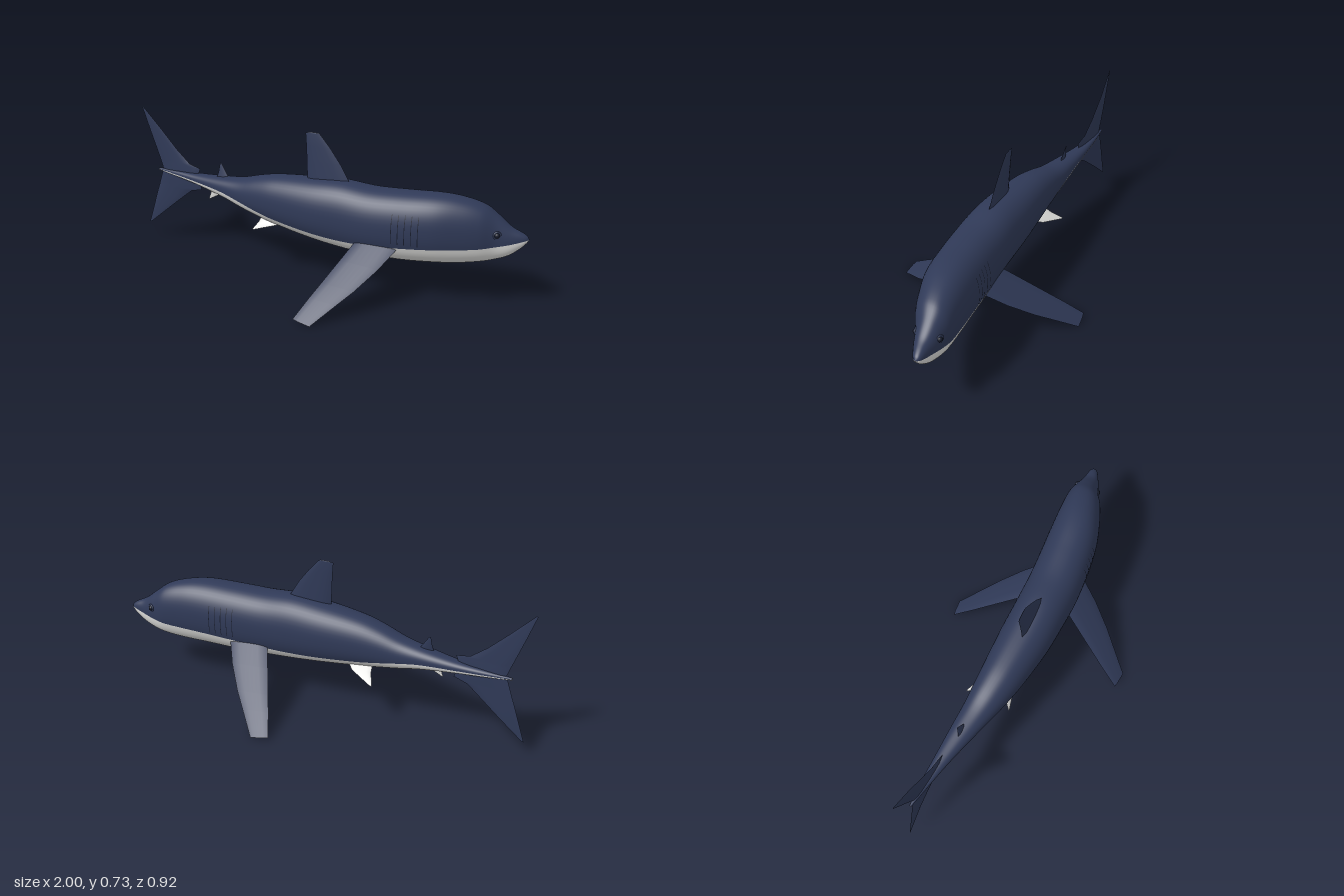
import * as THREE from 'three';

// body stations: x, top, bottom, colour seam height, z of right flank, z of left flank
const ROWS = [
  [-0.92, 0.393, 0.383, 0.388, -0.13, -0.12],
  [-0.8, 0.4, 0.367, 0.382, -0.134, -0.092],
  [-0.67, 0.406, 0.35, 0.374, -0.132, -0.06],
  [-0.5, 0.424, 0.32, 0.362, -0.128, -0.01],
  [-0.4, 0.44, 0.293, 0.343, -0.125, 0.02],
  [-0.3, 0.47, 0.27, 0.32, -0.125, 0.05],
  [-0.2, 0.493, 0.25, 0.3, -0.126, 0.075],
  [0, 0.515, 0.22, 0.277, -0.129, 0.11],
  [0.15, 0.525, 0.203, 0.268, -0.126, 0.122],
  [0.3, 0.516, 0.194, 0.272, -0.126, 0.128],
  [0.45, 0.52, 0.192, 0.283, -0.132, 0.12],
  [0.6, 0.525, 0.2, 0.294, -0.14, 0.1],
  [0.7, 0.516, 0.207, 0.3, -0.144, 0.07],
  [0.8, 0.487, 0.221, 0.306, -0.144, 0.03],
  [0.86, 0.444, 0.236, 0.313, -0.132, -0.006],
  [0.92, 0.396, 0.262, 0.325, -0.118, -0.03],
  [0.97, 0.371, 0.303, 0.337, -0.108, -0.056],
  [0.99, 0.358, 0.326, 0.342, -0.1, -0.07],
  [1.0, 0.345, 0.341, 0.343, -0.088, -0.084],
];

// smooth interpolation of one column of the stations
function column(x, c) {
  const last = ROWS.length - 1;
  x = THREE.MathUtils.clamp(x, ROWS[0][0], ROWS[last][0]);
  let i = 0;
  while (i < last - 1 && x > ROWS[i + 1][0]) i++;
  const slope = (k) => {
    const a = ROWS[Math.max(k - 1, 0)], b = ROWS[Math.min(k + 1, last)];
    return (b[c] - a[c]) / (b[0] - a[0]);
  };
  const p = ROWS[i], q = ROWS[i + 1], w = q[0] - p[0], t = (x - p[0]) / w, u = 1 - t;
  return p[c] * (1 + 2 * t) * u * u + q[c] * t * t * (3 - 2 * t)
    + slope(i) * w * t * u * u - slope(i + 1) * w * t * t * u;
}

const POWER = 2.25;
const bend = (v) => Math.sign(v) * Math.abs(v) ** (2 / POWER);
const midZ = (x) => (column(x, 4) + column(x, 5)) / 2;

// point on the skin: angle 0 is the left flank, PI/2 the back
function skin(x, a, out = 0) {
  const top = column(x, 1), low = column(x, 2);
  const h = (top - low) / 2 + out, w = (column(x, 5) - column(x, 4)) / 2 + out;
  return new THREE.Vector3(x, (top + low) / 2 + h * bend(Math.sin(a)), midZ(x) + w * bend(Math.cos(a)));
}

// angle on the left flank that lies at height y
function angleAt(x, y) {
  const top = column(x, 1), low = column(x, 2);
  const v = THREE.MathUtils.clamp((2 * y - top - low) / (top - low), -0.97, 0.97);
  return Math.asin(Math.sign(v) * Math.abs(v) ** (POWER / 2));
}

// surface through a grid of points; pick(column) gives the material index
function gridGeometry(rows, pick) {
  const n = rows[0].length, pos = [], geo = new THREE.BufferGeometry(), faces = [[], []];
  rows.forEach((r) => r.forEach((p) => pos.push(p.x, p.y, p.z)));
  for (let i = 0; i < rows.length - 1; i++) {
    for (let j = 0; j < n - 1; j++) {
      const a = i * n + j, b = a + n;
      faces[pick ? pick(j) : 0].push(a, b, b + 1, a, b + 1, a + 1);
    }
  }
  geo.setAttribute('position', new THREE.Float32BufferAttribute(pos, 3));
  geo.setIndex([...faces[0], ...faces[1]]);
  geo.addGroup(0, faces[0].length, 0);
  geo.addGroup(faces[0].length, faces[1].length, 1);
  geo.computeVertexNormals();
  return geo;
}

// one face of a fin; sections are [trailing point, leading point, half thickness]
function finSide(sections, normal, sign, material) {
  const rows = sections.map(([trail, lead, thick]) => {
    const row = [];
    for (let k = 0; k <= 8; k++) {
      const u = k / 8, bulge = thick * Math.sqrt(u) ** 0.9 * Math.sqrt(1 - u) * 2;
      row.push(trail.clone().lerp(lead, u).addScaledVector(normal, sign * bulge));
    }
    return sign > 0 ? row : row.reverse();
  });
  return new THREE.Mesh(gridGeometry(rows), material);
}

function fin(name, sections, normal, upper, lower = upper, tip = lower, split = sections.length - 1) {
  const group = new THREE.Group();
  group.name = name;
  group.add(finSide(sections, normal, 1, upper));
  group.add(finSide(sections.slice(0, split + 1), normal, -1, lower));
  if (split < sections.length - 1) group.add(finSide(sections.slice(split), normal, -1, tip));
  group.children.forEach((m, i) => { m.name = name + ['Upper', 'Lower', 'Tip'][i]; });
  return group;
}

export function createModel() {
  const model = new THREE.Group();
  model.name = 'shark';
  const paint = (name, color) => {
    const m = new THREE.MeshStandardMaterial({ color, side: THREE.DoubleSide });
    m.name = name;
    return m;
  };
  const navy = paint('navy', 0x303a58), white = paint('white', 0xe0e0de), dark = paint('dark', 0x171c2c);
  const V = (x, y, z) => new THREE.Vector3(x, y, z);
  const sideways = V(0, 0, 1);

  // body: dark back and pale belly share one smooth skin
  const rings = [], BACK = 32, BELLY = 20;
  for (let i = 0; i <= 110; i++) {
    const x = -0.92 + 1.92 * Math.sin((i / 110) * Math.PI / 2);
    const s = angleAt(x, column(x, 3)), ring = [];
    for (let j = 0; j <= BACK; j++) ring.push(skin(x, s + (Math.PI - 2 * s) * j / BACK));
    for (let j = 1; j <= BELLY; j++) ring.push(skin(x, Math.PI - s + (Math.PI + 2 * s) * j / BELLY));
    rings.push(ring);
  }
  const body = new THREE.Mesh(gridGeometry(rings, (j) => (j < BACK ? 0 : 1)), [navy, white]);
  body.name = 'body';
  model.add(body);

  // upright fins on the back: [y, trailing x, leading x, z, half thickness]
  const upright = (rows) => rows.map(([y, t, l, z, h]) => [V(t, y, z), V(l, y, z), h]);
  model.add(fin('dorsalFin', upright([
    [0.48, -0.03, 0.2, 0, 0.013], [0.53, -0.033, 0.172, -0.002, 0.011], [0.6, -0.036, 0.13, -0.005, 0.008],
    [0.67, -0.04, 0.078, -0.008, 0.005], [0.728, -0.045, 0.027, -0.011, 0.003], [0.733, -0.02, 0.02, -0.011, 0],
  ]), sideways, navy));
  model.add(fin('secondDorsalFin', upright([
    [0.41, -0.555, -0.48, -0.07, 0.006], [0.44, -0.545, -0.5, -0.075, 0.005], [0.488, -0.537, -0.53, -0.08, 0],
  ]), sideways, navy));

  // tail fin follows the curve of the body: [y, trailing x, leading x, half thickness]
  model.add(fin('tailFin', [
    [0.08, -0.998, -0.99, 0], [0.18, -0.965, -0.872, 0.002], [0.255, -0.941, -0.782, 0.004],
    [0.303, -0.924, -0.722, 0.005], [0.322, -0.918, -0.655, 0.006], [0.37, -0.902, -0.67, 0.008],
    [0.395, -0.893, -0.675, 0.008], [0.433, -0.905, -0.66, 0.006], [0.447, -0.91, -0.725, 0.005],
    [0.51, -0.932, -0.8, 0.004], [0.6, -0.963, -0.888, 0.002], [0.707, -0.998, -0.99, 0],
  ].map(([y, t, l, h]) => [V(t, y, midZ(t)), V(l, y, midZ(l)), h]), sideways, navy));

  // anal fin
  model.add(fin('analFin', upright([
    [0.34, -0.59, -0.51, -0.07, 0.005], [0.325, -0.59, -0.535, -0.07, 0.004], [0.293, -0.602, -0.595, -0.07, 0],
  ]), sideways, white));

  for (const s of [1, -1]) {
    const side = s > 0 ? 'left' : 'right';

    // pectoral fins, pale below with dark tips: [trailing x, leading x, z, half thickness]
    const up = V(0, 1, 0.763 * s).normalize();
    const drop = (z) => 0.272 - 0.763 * (z - 0.11);
    model.add(fin(side + 'PectoralFin', [
      [0.275, 0.475, 0.06, 0.011], [0.25, 0.445, 0.115, 0.01], [0.21, 0.395, 0.2, 0.008],
      [0.163, 0.32, 0.3, 0.006], [0.132, 0.262, 0.365, 0.005], [0.093, 0.183, 0.455, 0.002],
      [0.12, 0.18, 0.461, 0],
    ].map(([t, l, z, h]) => [V(t, drop(z) + 0.01, s * (z - 0.005)), V(l, drop(z), s * z), h]), up, navy, white, navy, 4));

    // pelvic fins
    const pz = s > 0 ? [0.0, 0.03, 0.055] : [-0.08, -0.115, -0.17];
    model.add(fin(side + 'PelvicFin', [
      [V(-0.27, 0.285, pz[0]), V(-0.15, 0.275, pz[0]), 0.005],
      [V(-0.275, 0.262, pz[1]), V(-0.18, 0.257, pz[1]), 0.004],
      [V(-0.3, 0.226, pz[2]), V(-0.29, 0.226, pz[2]), 0],
    ], V(0, 0.8, 0.6 * s), white));

    // eyes with raised lids
    const a = angleAt(0.87, 0.37), spot = skin(0.87, s > 0 ? a : Math.PI - a, -0.003);
    const eye = new THREE.Group();
    eye.name = side + 'Eye';
    const ball = new THREE.Mesh(new THREE.SphereGeometry(0.013, 16, 12), dark);
    ball.name = side + 'Eyeball';
    const lid = new THREE.Mesh(new THREE.TorusGeometry(0.015, 0.005, 8, 20), navy);
    lid.name = side + 'Eyelid';
    eye.add(ball, lid);
    eye.position.copy(spot);
    eye.rotation.y = s * 0.5;
    model.add(eye);

    // gill slits lie on the skin
    for (let g = 0; g < 5; g++) {
      const rows = [], x = 0.425 + g * 0.03;
      for (let k = 0; k <= 10; k++) {
        const y = 0.305 + 0.14 * k / 10, b = angleAt(x, y), t = s > 0 ? b : Math.PI - b;
        rows.push([skin(x - 0.0015, t, 0.0015), skin(x + 0.0015, t, 0.0015)]);
      }
      const gill = new THREE.Mesh(gridGeometry(rows), dark);
      gill.name = side + 'GillSlit' + (g + 1);
      model.add(gill);
    }
  }
  return model;
}
